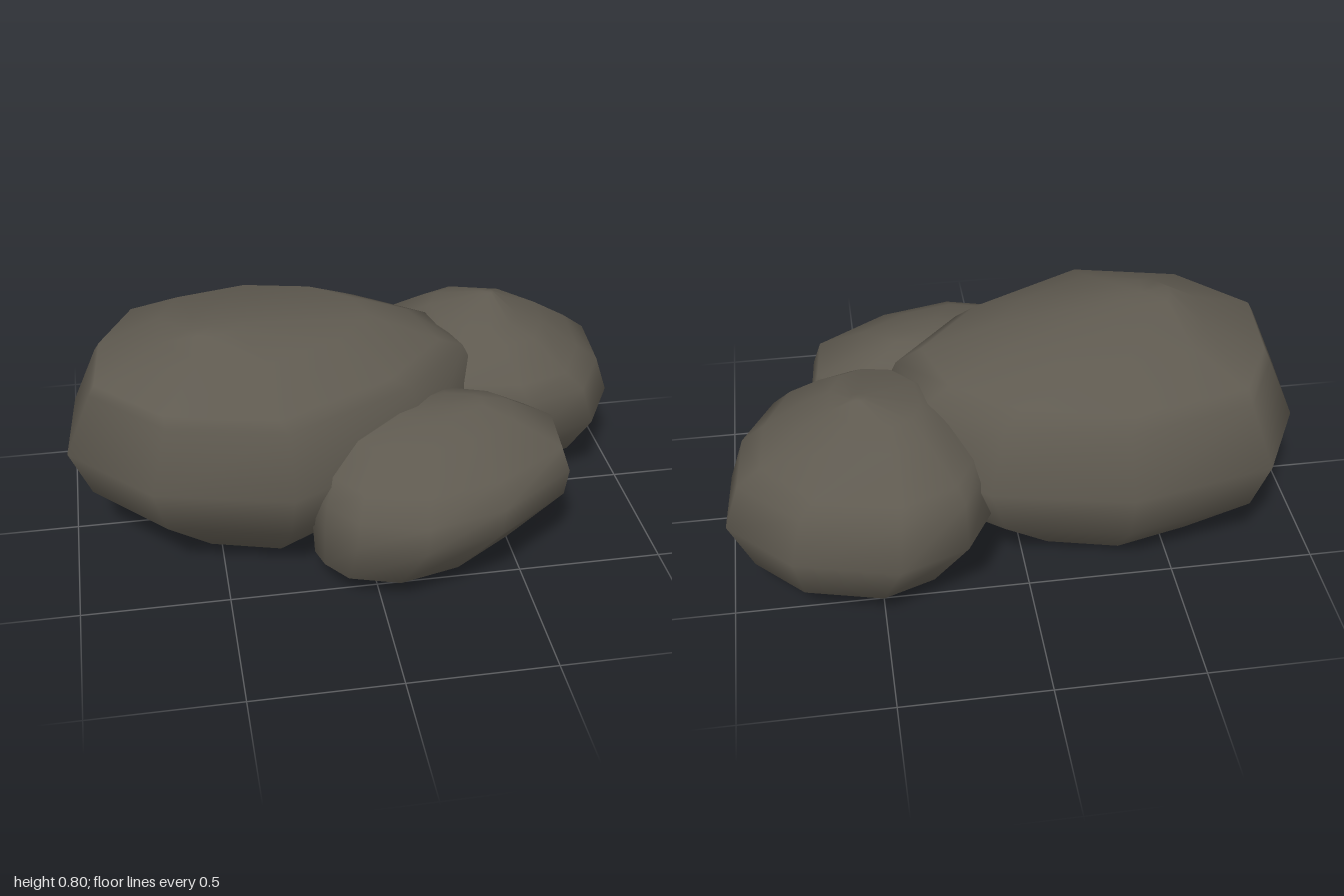
import * as THREE from 'three';

// Boulder lofted from one plan outline (clockwise from above),
// fitted at each level [y, xMin, xMax, zMin, zMax].
function makeBoulder(name, outline, levels, material) {
  const xs = outline.map(p => p[0]), zs = outline.map(p => p[1]);
  const x0 = Math.min(...xs), x1 = Math.max(...xs);
  const z0 = Math.min(...zs), z1 = Math.max(...zs);
  const n = outline.length, positions = [], index = [];

  for (const [y, xa, xb, za, zb] of levels) {
    for (const [x, z] of outline) {
      positions.push(
        xa + (xb - xa) * (x - x0) / (x1 - x0), y,
        za + (zb - za) * (z - z0) / (z1 - z0));
    }
  }

  // Sides
  for (let i = 0; i < levels.length - 1; i++) {
    for (let j = 0; j < n; j++) {
      const a = i * n + j, b = i * n + (j + 1) % n;
      index.push(b, a, a + n, b, a + n, b + n);
    }
  }

  // Bottom and top caps
  const last = levels.length - 1, bottom = n * levels.length, top = bottom + 1;
  for (const k of [0, last]) {
    const [y, xa, xb, za, zb] = levels[k];
    positions.push((xa + xb) / 2, y, (za + zb) / 2);
  }
  for (let j = 0; j < n; j++) {
    const k = (j + 1) % n;
    index.push(bottom, j, k, top, last * n + k, last * n + j);
  }

  const geometry = new THREE.BufferGeometry();
  geometry.setAttribute('position', new THREE.Float32BufferAttribute(positions, 3));
  geometry.setIndex(index);
  geometry.computeVertexNormals();
  const mesh = new THREE.Mesh(geometry, material);
  mesh.name = name;
  return mesh;
}

export function createModel() {
  const stone = new THREE.MeshStandardMaterial({ color: 0x5f5a50 });
  stone.name = 'stone';
  const group = new THREE.Group();
  group.name = 'rockCluster';

  // Large boulder
  group.add(makeBoulder('largeBoulder',
    [[-1, 0.15], [-0.97, -0.21], [-0.82, -0.5], [-0.33, -0.61], [0.13, -0.51],
      [0.4, -0.3], [0.49, 0], [0.22, 0.3], [-0.28, 0.55], [-0.73, 0.44]],
    [[0, -0.52, -0.05, -0.32, 0.16],
      [0.04, -0.68, 0.1, -0.4, 0.3],
      [0.23, -0.93, 0.4, -0.56, 0.48],
      [0.41, -1, 0.49, -0.61, 0.55],
      [0.62, -0.91, 0.39, -0.52, 0.47],
      [0.66, -0.89, 0.3, -0.47, 0.45],
      [0.755, -0.67, 0.06, -0.32, 0.25],
      [0.8, -0.57, -0.38, -0.04, 0.12]], stone));

  // Medium boulder at the back
  group.add(makeBoulder('backBoulder',
    [[0.22, -0.63], [0.45, -0.72], [0.79, -0.63], [1, -0.41], [0.98, -0.14],
      [0.86, 0.08], [0.63, 0.15], [0.35, 0.1], [0.14, -0.1], [0.1, -0.42]],
    [[0.008, 0.52, 0.68, -0.41, -0.3],
      [0.05, 0.36, 0.77, -0.5, -0.12],
      [0.12, 0.24, 0.92, -0.63, 0.02],
      [0.3, 0.1, 1, -0.72, 0.15],
      [0.44, 0.11, 0.95, -0.66, 0.14],
      [0.5, 0.15, 0.87, -0.63, 0.11],
      [0.6, 0.27, 0.73, -0.48, 0],
      [0.64, 0.33, 0.63, -0.4, -0.05],
      [0.68, 0.51, 0.56, -0.29, -0.25]], stone));

  // Small boulder at the front
  group.add(makeBoulder('frontBoulder',
    [[-0.21, 0.42], [-0.15, 0.22], [0.05, 0.08], [0.35, 0], [0.6, 0.1],
      [0.69, 0.21], [0.67, 0.45], [0.4, 0.64], [0.13, 0.71], [-0.09, 0.64],
      [-0.18, 0.52]],
    [[0.005, 0.05, 0.17, 0.29, 0.38],
      [0.025, -0.13, 0.28, 0.2, 0.51],
      [0.1, -0.2, 0.48, 0.1, 0.63],
      [0.27, -0.21, 0.67, 0, 0.715],
      [0.35, -0.2, 0.69, 0, 0.69],
      [0.44, -0.17, 0.66, 0.04, 0.645],
      [0.52, -0.07, 0.5, 0.1, 0.5],
      [0.555, 0.1, 0.4, 0.2, 0.36]], stone));

  return group;
}
